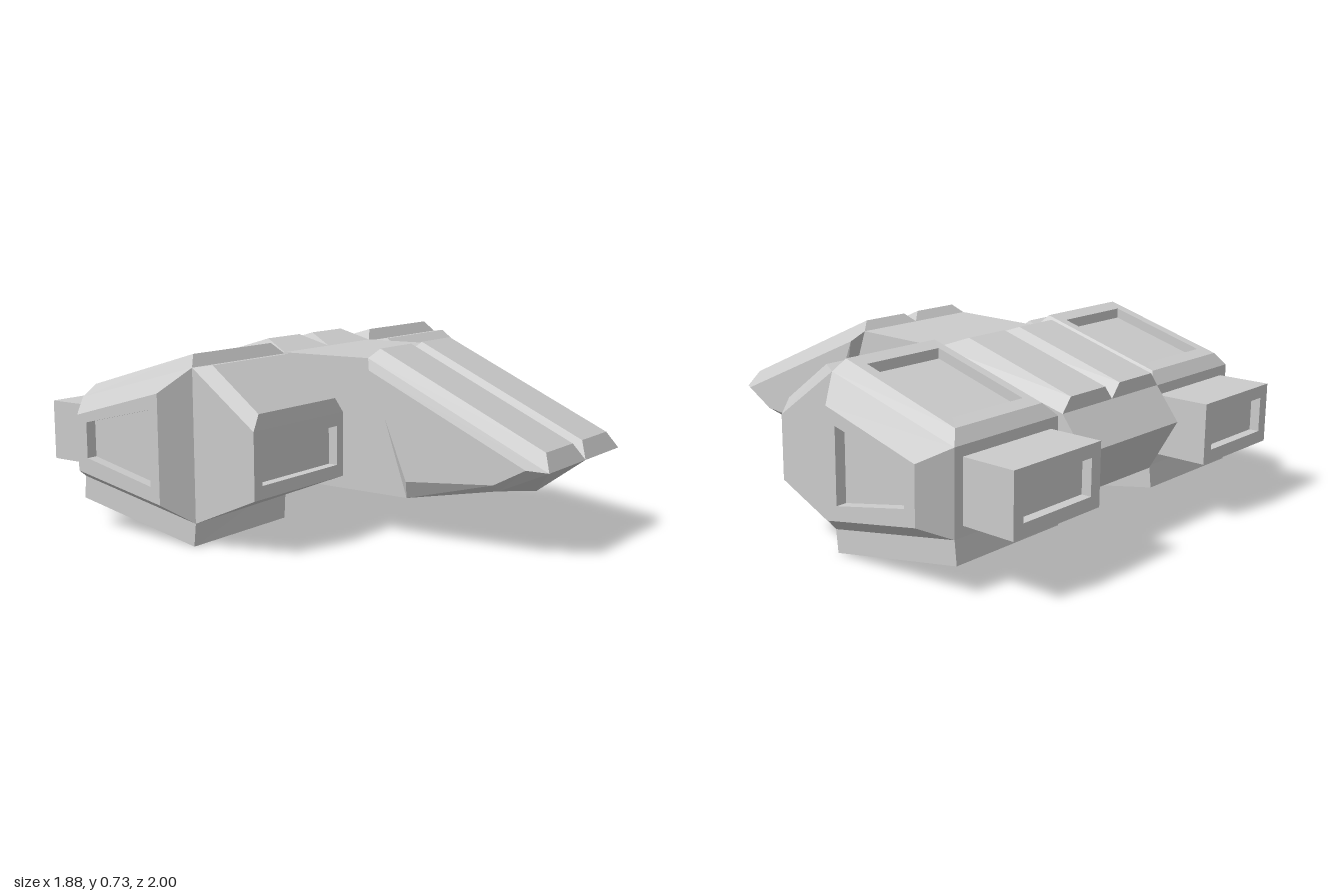
import * as THREE from 'three';

const material = new THREE.MeshStandardMaterial({ color: 0xcccccc, flatShading: true });

// Skins a stack of corner loops and caps both ends; the first step points outward.
function loft(name, loops) {
  const rings = loops.map(r => r.map(p => new THREE.Vector3(...p)));
  const centre = r => r.reduce((c, p) => c.add(p), new THREE.Vector3()).divideScalar(r.length);
  const normal = new THREE.Vector3();
  rings[0].forEach((p, i, r) => normal.add(p.clone().cross(r[(i + 1) % r.length])));
  if (normal.dot(centre(rings[1]).sub(centre(rings[0]))) < 0) rings.forEach(r => r.reverse());

  const points = [];
  const fan = poly => {
    for (let i = 1; i < poly.length - 1; i++) points.push(poly[0], poly[i], poly[i + 1]);
  };
  for (let k = 0; k < rings.length - 1; k++) {
    const a = rings[k], b = rings[k + 1];
    a.forEach((p, i) => {
      const j = (i + 1) % a.length;
      fan([p, a[j], b[j], b[i]]);
    });
  }
  fan([...rings[0]].reverse());
  fan(rings[rings.length - 1]);
  const geometry = new THREE.BufferGeometry().setFromPoints(points);
  geometry.computeVertexNormals();
  const mesh = new THREE.Mesh(geometry, material);
  mesh.name = name;
  return mesh;
}

// Loops lying across each axis
const atZ = (z, x0, x1, y0, y1) => [[x0, y1, z], [x1, y1, z], [x1, y0, z], [x0, y0, z]];
const atX = (x, zy) => zy.map(([z, y]) => [x, y, z]);
// Sloping loop: front edge at (z0, y0), back edge at (z1, y1)
const slope = (x0, x1, z0, y0, z1, y1) => [[x0, y0, z0], [x1, y0, z0], [x1, y1, z1], [x0, y1, z1]];

export function createModel() {
  const model = new THREE.Group();
  model.name = 'spacecraft';

  // Central hull with a shallow keel under the nose
  const profile = keel => [[1, 0.335], [0.22, 0.69], [-0.19, 0.685], [-0.8, 0.53], [-0.9, 0.4],
    [-0.78, 0.19], [0, 0.165], [0.4, 0.165], [0.8, keel]];
  model.add(loft('hull', [atX(-0.295, profile(0.245)), atX(0, profile(0.19)), atX(0.295, profile(0.245))]));

  for (const s of [1, -1]) {
    const side = new THREE.Group();
    side.name = s > 0 ? 'leftSide' : 'rightSide';
    const add = (name, ...loops) =>
      side.add(loft(name, loops.map(r => r.map(([x, y, z]) => [s * x, y, z]))));

    // Nose cheek and long ridges on the hull
    add('noseCheek',
      atX(0.295, [[1, 0.335], [0.22, 0.69], [0.4, 0.165], [0.8, 0.245]]),
      atX(0.34, [[0.93, 0.345], [0.255, 0.65], [0.425, 0.24], [0.8, 0.275]]));
    add('noseRidge',
      slope(0, 0.295, 1, 0.335, 0.22, 0.69),
      slope(0.04, 0.255, 0.965, 0.4, 0.25, 0.725));
    add('rearRidge',
      slope(0, 0.295, -0.19, 0.685, -0.8, 0.53),
      slope(0.045, 0.25, -0.31, 0.73, -0.8, 0.585));

    // Pod body: tapered back and front with a recessed intake
    const middle = [[0.295, 0.68, -0.19], [0.835, 0.68, -0.19], [0.835, 0.09, -0.19], [0.295, 0.165, -0.19]];
    add('podRear', middle, atZ(-0.78, 0.295, 0.835, 0.2, 0.52));
    add('podFront', middle,
      atZ(0.1, 0.295, 0.835, 0.215, 0.47),
      atZ(0.1, 0.335, 0.79, 0.265, 0.42),
      atZ(0.06, 0.335, 0.79, 0.265, 0.42));
    add('podFrontPlate',
      slope(0.295, 0.835, 0.1, 0.47, -0.19, 0.68),
      slope(0.34, 0.8, 0.095, 0.53, -0.12, 0.69));

    // Pod plates with recessed panels
    add('podTopPlate',
      slope(0.295, 0.835, -0.19, 0.68, -0.78, 0.52),
      slope(0.344, 0.795, -0.22, 0.725, -0.745, 0.57),
      slope(0.385, 0.75, -0.28, 0.707, -0.69, 0.586),
      slope(0.385, 0.75, -0.28, 0.667, -0.68, 0.549));
    const panel = [[-0.315, 0.525], [-0.65, 0.445], [-0.65, 0.305], [-0.315, 0.235]];
    add('podSidePlate',
      atX(0.835, [[-0.19, 0.68], [-0.78, 0.52], [-0.78, 0.2], [-0.19, 0.09]]),
      atX(0.94, [[-0.27, 0.59], [-0.7, 0.47], [-0.7, 0.25], [-0.27, 0.17]]),
      atX(0.94, panel),
      atX(0.895, panel));
    add('podBottomPlate',
      [[0.295, 0.165, -0.19], [0.835, 0.09, -0.19], [0.835, 0.2, -0.78], [0.295, 0.2, -0.78]],
      slope(0.295, 0.835, -0.2, 0, -0.79, 0.11),
      slope(0.385, 0.75, -0.29, 0.017, -0.7, 0.093),
      slope(0.42, 0.715, -0.33, 0.065, -0.66, 0.126));

    // Exhaust box
    add('exhaust',
      atZ(-0.78, 0.335, 0.795, 0.24, 0.48),
      atZ(-1, 0.335, 0.795, 0.24, 0.48),
      atZ(-1, 0.385, 0.745, 0.29, 0.43),
      atZ(-0.96, 0.385, 0.745, 0.29, 0.43));
    model.add(side);
  }
  return model;
}
